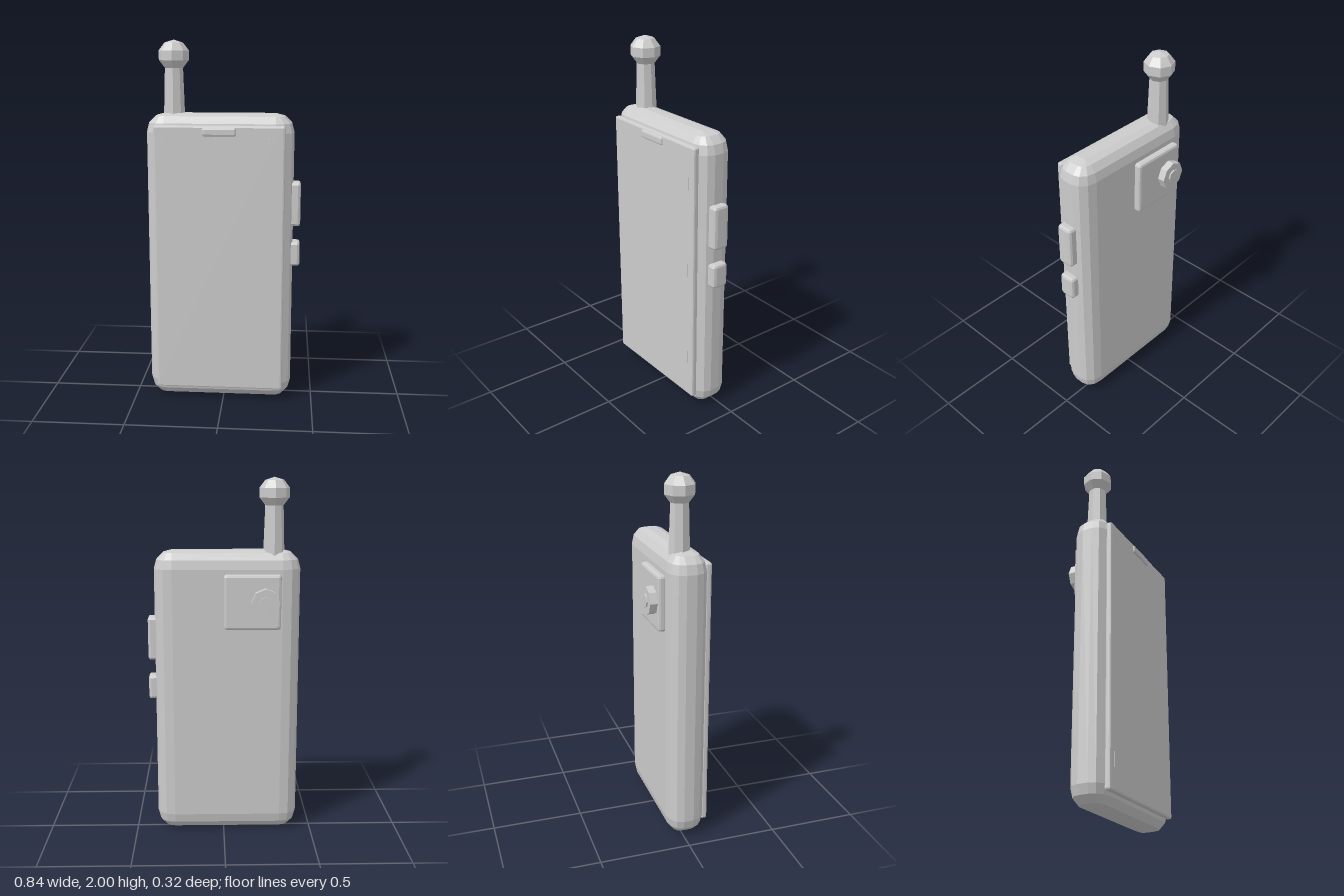
import * as THREE from 'three';
import { ConvexGeometry } from 'three/addons/geometries/ConvexGeometry.js';

// Box spanning min..max with bevelled edges; r = bevel size per axis, n = steps per quarter turn
function bevelBox(min, max, r, n) {
  const points = [];
  for (const sx of [-1, 1]) for (const sy of [-1, 1]) for (const sz of [-1, 1]) {
    for (let i = 0; i <= n; i++) {
      const lat = (i / n) * Math.PI / 2;
      const steps = i === n ? 0 : n; // single point at the pole
      for (let j = 0; j <= steps; j++) {
        const lon = (j / n) * Math.PI / 2;
        const dir = [Math.cos(lat) * Math.cos(lon), Math.sin(lat), Math.cos(lat) * Math.sin(lon)];
        const p = [sx, sy, sz].map((s, k) =>
          s > 0 ? max[k] - r[k] * (1 - dir[k]) : min[k] + r[k] * (1 - dir[k]));
        points.push(new THREE.Vector3(...p));
      }
    }
  }
  return new ConvexGeometry(points);
}

export function createModel() {
  const phone = new THREE.Group();
  phone.name = 'phone';
  const grey = new THREE.MeshStandardMaterial({ color: 0xcccccc });
  grey.name = 'grey';
  grey.flatShading = true;

  const add = (name, geometry, x = 0, y = 0, z = 0) => {
    const mesh = new THREE.Mesh(geometry, grey);
    mesh.name = name;
    mesh.position.set(x, y, z);
    phone.add(mesh);
    return mesh;
  };
  const addBox = (name, min, max, r, n = 2) => add(name, bevelBox(min, max, r, n));
  const small = [0.01, 0.01, 0.01];

  // Body
  addBox('body', [-0.42, 0, -0.08], [0.38, 1.613, 0.131], [0.1, 0.1, 0.078], 3);

  // Front: glass panel, display and earpiece
  addBox('frontPanel', [-0.372, 0.068, 0.115], [0.332, 1.555, 0.15], small);
  add('display', new THREE.BoxGeometry(0.615, 1.305, 0.004), -0.021, 1.838 - 1, 0.1485);
  addBox('earpiece', [-0.111, 1.5, 0.14], [0.071, 1.545, 0.16], small);

  // Side buttons
  for (const [name, low, high] of [['volumeButton', 1.0, 1.245], ['powerButton', 0.775, 0.912]]) {
    addBox(name, [0.35, low, -0.015], [0.42, high, 0.08], [0.015, 0.015, 0.02]);
  }

  // Camera: plate, octagonal housing and lens
  addBox('cameraPlate', [-0.31, 1.19, -0.117], [0, 1.49, -0.07], [0.014, 0.014, 0.014]);
  const disc = (radius, depth) => new THREE.CylinderGeometry(radius, radius, depth, 8).rotateX(Math.PI / 2);
  add('cameraHousing', disc(0.077, 0.056), -0.224, 1.343, -0.129);
  add('cameraLens', disc(0.037, 0.03), -0.224, 1.343, -0.15);

  // Antenna: tapered stem and faceted ball
  add('antennaStem', new THREE.CylinderGeometry(0.049, 0.06, 0.34, 8), -0.274, 1.7, 0.006);
  const ball = add('antennaBall', new THREE.SphereGeometry(1, 8, 5), -0.274, 1.918, 0.006);
  ball.scale.set(0.086, 0.082, 0.086);

  return phone;
}
